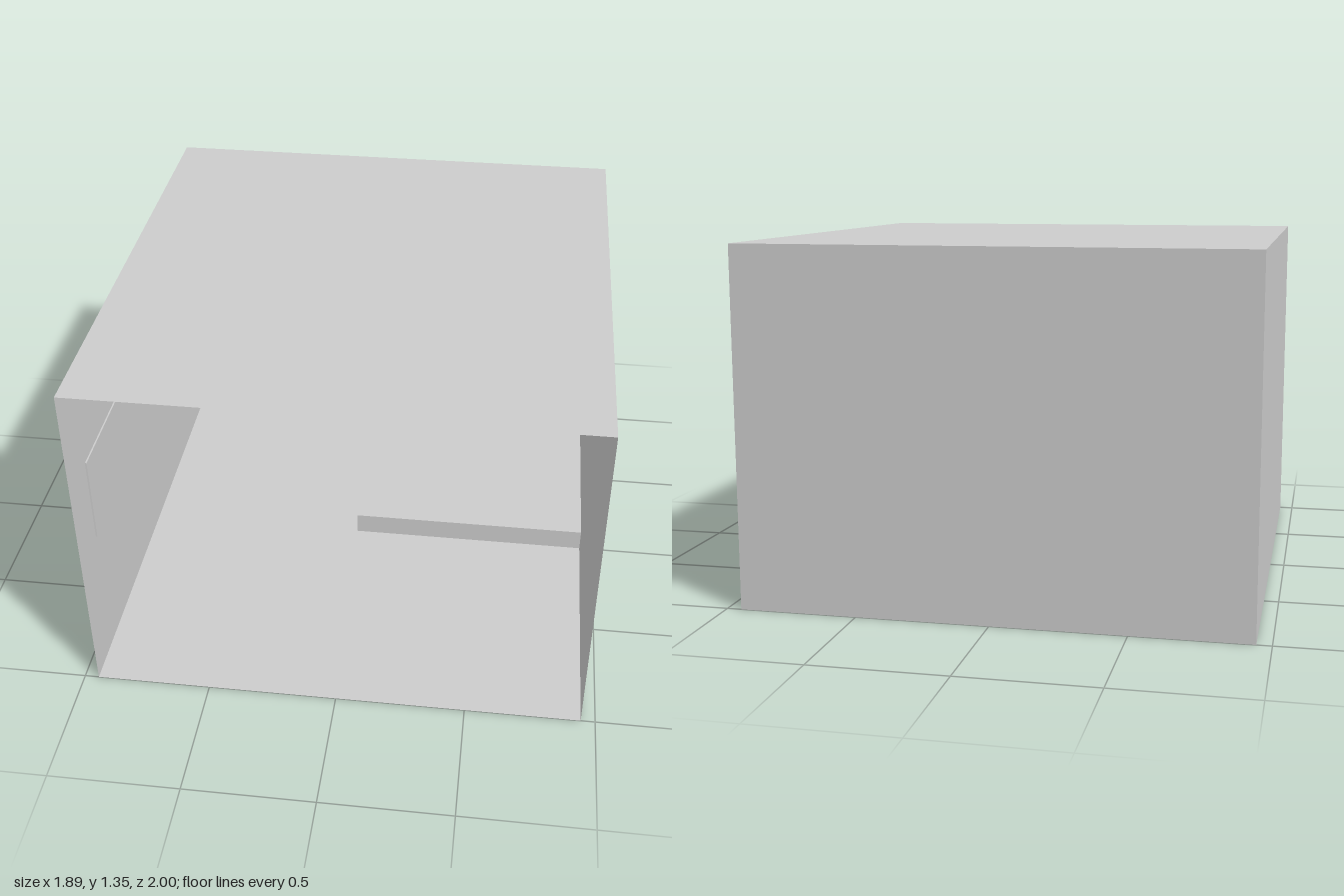
import * as THREE from 'three';

const W = 0.945, H = 1.35, D = 1; // half width, height, half depth

export function createModel() {
  const room = new THREE.Group();
  room.name = 'room';
  const solid = new THREE.MeshStandardMaterial({ color: 0xcccccc });
  const thin = new THREE.MeshStandardMaterial({ color: 0xcccccc, side: THREE.DoubleSide });

  const add = (name, geometry, material, parent = room) => {
    const mesh = new THREE.Mesh(geometry, material);
    mesh.name = name;
    parent.add(mesh);
    return mesh;
  };

  // Paper-thin shell, open at the front
  add('floor', new THREE.PlaneGeometry(2 * W, 2 * D).rotateX(-Math.PI / 2), thin);
  add('ceiling', new THREE.PlaneGeometry(2 * W, 2 * D).rotateX(Math.PI / 2), thin).position.y = H;
  add('backWall', new THREE.PlaneGeometry(2 * W, H), thin).position.set(0, H / 2, -D);
  for (const [name, s] of [['leftWall', 1], ['rightWall', -1]]) {
    add(name, new THREE.PlaneGeometry(2 * D, H).rotateY(-s * Math.PI / 2), thin)
      .position.set(s * W, H / 2, 0);
  }

  // Low platform in the back corner, with one slanted side (shape y becomes -z)
  const outline = new THREE.Shape([
    new THREE.Vector2(-0.04, 0), new THREE.Vector2(W, 0),
    new THREE.Vector2(W, D), new THREE.Vector2(-0.155, D),
  ]);
  add('platform', new THREE.ExtrudeGeometry(outline, { depth: 0.09, bevelEnabled: false })
    .rotateX(-Math.PI / 2), solid);

  // Flat panel hung on the side wall
  add('wallPanel', new THREE.BoxGeometry(0.006, 0.355, 0.5), solid).position.set(-W + 0.003, 0.745, 0.56);

  // Four-pane window frame on the back wall
  const frame = new THREE.Group();
  frame.name = 'windowFrame';
  frame.position.set(-0.352, 0.57, -D + 0.006);
  room.add(frame);
  const span = 0.3, bar = 0.011;
  for (const k of [-0.5, 0, 0.5]) {
    add('uprightBar', new THREE.BoxGeometry(bar, span + bar, 0.012), solid, frame).position.x = k * span;
    add('crossBar', new THREE.BoxGeometry(span + bar, bar, 0.012), solid, frame).position.y = k * span;
  }

  // Bulb-shaped knob: tapered neck swelling into a round head
  const profile = [[0, 0], [0.015, 0], [0.018, 0.012], [0.025, 0.028], [0.032, 0.042],
    [0.033, 0.05], [0.03, 0.061], [0.021, 0.071], [0.01, 0.076], [0, 0.077]];
  add('knob', new THREE.LatheGeometry(profile.map(([x, y]) => new THREE.Vector2(x, y)), 24), solid)
    .position.set(-0.433, 0.572, -0.95);

  return room;
}
